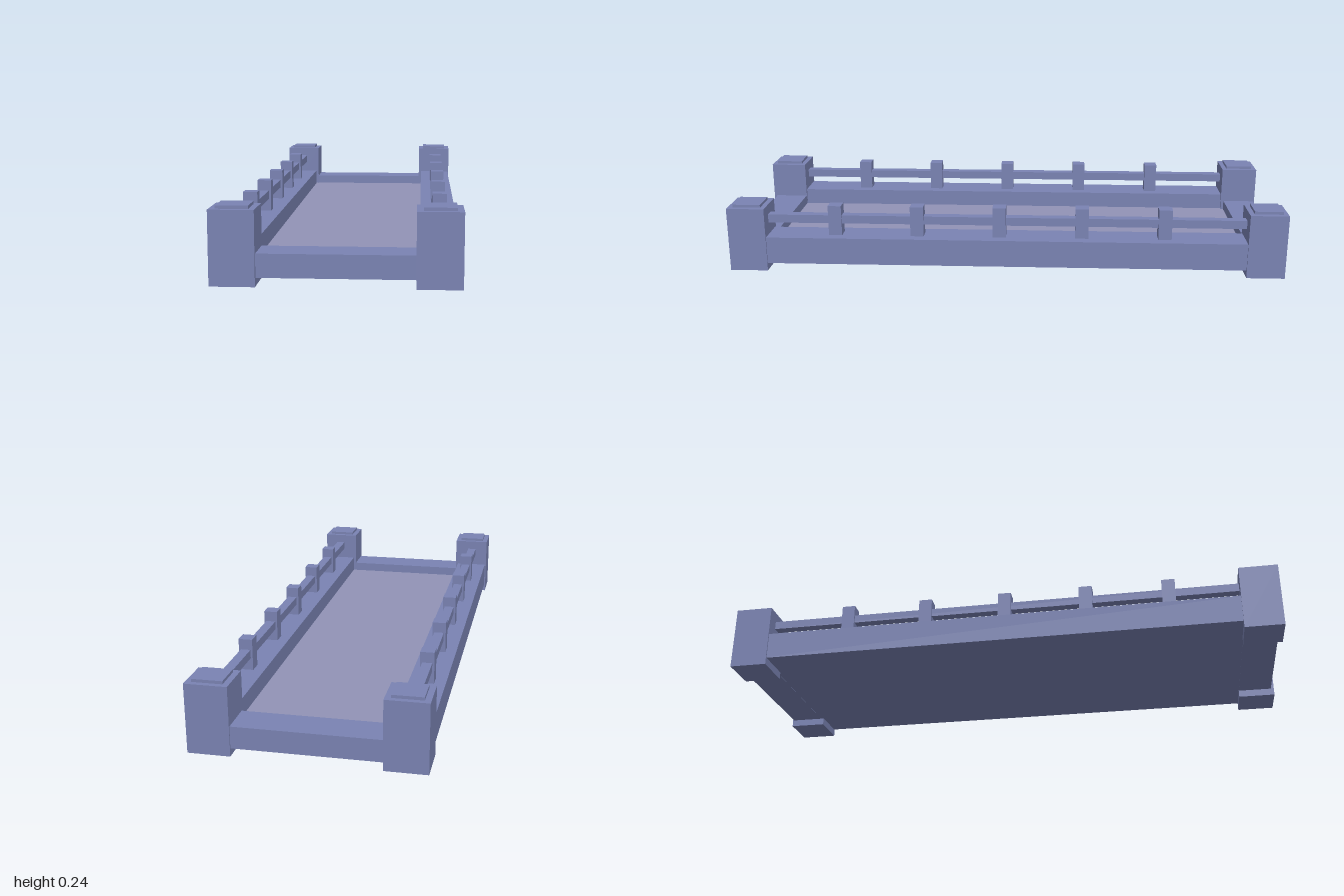
import * as THREE from 'three';

const stone = new THREE.MeshStandardMaterial({ color: 0x7a83b3 });
const paving = new THREE.MeshStandardMaterial({ color: 0x9293b6 });

// Box given by its lower and upper limits on each axis
function block(name, [x0, x1], [y0, y1], [z0, z1], material = stone) {
  const mesh = new THREE.Mesh(new THREE.BoxGeometry(x1 - x0, y1 - y0, z1 - z0), material);
  mesh.position.set((x0 + x1) / 2, (y0 + y1) / 2, (z0 + z1) / 2);
  mesh.name = name;
  return mesh;
}

// Corner pillar with a small raised cap
function pillar(name, x, z) {
  const group = new THREE.Group();
  group.name = name;
  group.add(
    block('pillarShaft', [-0.07, 0.07], [0, 0.233], [-0.068, 0.068]),
    block('pillarCap', [-0.05, 0.05], [0.233, 0.243], [-0.05, 0.05])
  );
  group.position.set(x, 0, z);
  return group;
}

// Curb, handrail and five balusters along one edge
function railing(name, x) {
  const group = new THREE.Group();
  group.name = name;
  group.add(
    block('curb', [-0.0625, 0.0625], [0.027, 0.125], [-0.9, 0.9]),
    block('handrail', [-0.017, 0.017], [0.168, 0.198], [-0.9, 0.9])
  );
  for (let i = -2; i <= 2; i++) {
    const z = 0.022 + i * 0.298;
    group.add(block('baluster', [-0.024, 0.024], [0.125, 0.235], [z - 0.024, z + 0.024]));
  }
  group.position.x = x;
  return group;
}

export function createModel() {
  const model = new THREE.Group();
  model.name = 'footbridge';

  // Walkway between the curbs, on a base slab
  model.add(block('baseSlab', [-0.26, 0.26], [0.027, 0.05], [-0.88, 0.87]));
  model.add(block('deck', [-0.26, 0.26], [0.05, 0.065], [-0.88, 0.87], paving));

  // Sills across both ends
  model.add(block('frontSill', [-0.3, 0.3], [0.026, 0.1], [0.865, 0.988]));
  model.add(block('backSill', [-0.3, 0.3], [0.026, 0.1], [-0.995, -0.875]));

  // Mirrored sides
  for (const [side, s] of [['left', 1], ['right', -1]]) {
    model.add(railing(side + 'Railing', s * 0.3125));
    model.add(pillar(side + 'FrontPillar', s * 0.31, 0.932));
    model.add(pillar(side + 'BackPillar', s * 0.31, -0.932));
  }
  return model;
}
